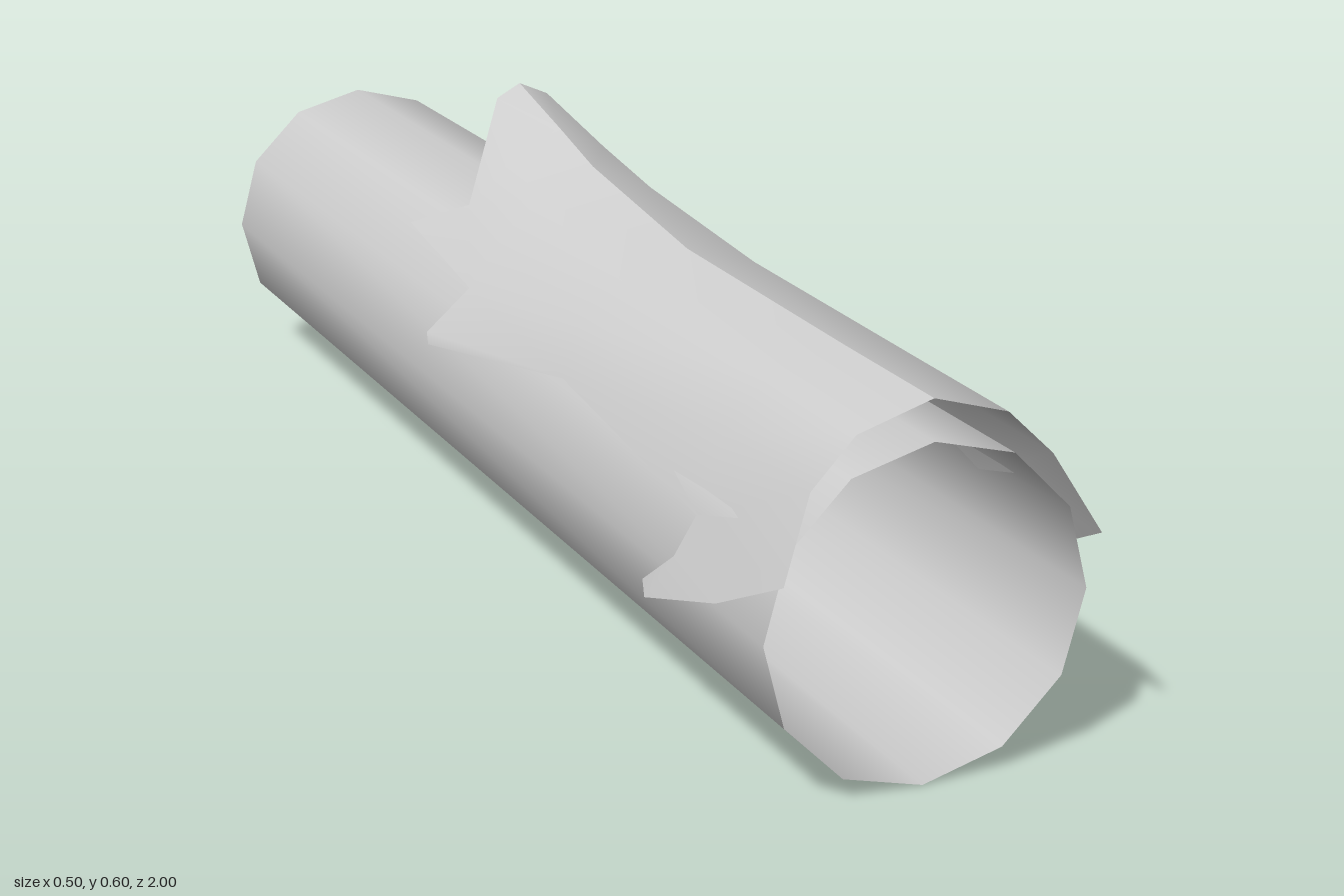
import * as THREE from 'three';

// Half of the torn outer layer: four cross-sections (front to back), each from crest to side
const SECTIONS = [
  [[0, 0.483, 0.96], [0.1, 0.453, 0.96], [0.16, 0.395, 0.965], [0.21, 0.3, 1.0]],
  [[0, 0.484, 0.745], [0.1, 0.455, 0.745], [0.16, 0.397, 0.745], [0.195, 0.295, 0.745]],
  [[0, 0.49, 0.31], [0.1, 0.46, 0.31], [0.155, 0.405, 0.31], [0.19, 0.34, 0.33]],
  [[0, 0.53, 0], [0.09, 0.49, 0], [0.15, 0.432, 0], [0.198, 0.38, 0.02]],
];
// Points of the ragged rim, numbered on from the 16 section points
const RIM = [
  [0, 0.56, -0.12], [0.07, 0.525, -0.12], [0.138, 0.457, -0.13],      // 16-18 rear section
  [0, 0.595, -0.27], [0.04, 0.578, -0.26], [0.19, 0.41, -0.235],      // 19-21 rear tips
  [0.25, 0.295, -0.01], [0.248, 0.31, -0.02],                         // 22-23 side tip
  [0.23, 0.235, 0.87], [0.242, 0.18, 0.7], [0.24, 0.2, 0.69], [0.222, 0.245, 0.74], // 24-27 front tab
];
const RIM_FACES = [
  [12, 13, 17], [12, 17, 16], [13, 14, 18], [13, 18, 17], [14, 15, 18],
  [15, 21, 18], [16, 17, 20], [16, 20, 19], [17, 18, 20],
  [11, 22, 23], [11, 23, 15],
  [3, 24, 7], [24, 27, 7], [24, 25, 27], [25, 26, 27],
];

// side = 1 for the left half, -1 for its mirror image
function shellHalf(side) {
  const points = [...SECTIONS.flat(), ...RIM].map(([x, y, z]) => [x * side, y, z]);
  const faces = [...RIM_FACES];
  for (let r = 0; r < 3; r++) {
    for (let c = 0; c < 3; c++) {
      const a = r * 4 + c;
      faces.push([a, a + 1, a + 5], [a, a + 5, a + 4]);
    }
  }
  const index = faces.flatMap(([a, b, c]) => (side > 0 ? [a, b, c] : [a, c, b]));
  const geometry = new THREE.BufferGeometry();
  geometry.setAttribute('position', new THREE.Float32BufferAttribute(points.flat(), 3));
  geometry.setIndex(index);
  geometry.computeVertexNormals();
  return geometry;
}

export function createModel() {
  const model = new THREE.Group();
  model.name = 'hollowLog';
  const grey = new THREE.MeshStandardMaterial({ color: 0xcccccc, side: THREE.DoubleSide });
  grey.name = 'lightGrey';

  // Open twelve-sided tube lying along z
  const tubeGeometry = new THREE.CylinderGeometry(0.216, 0.216, 1.965, 12, 1, true);
  tubeGeometry.rotateX(Math.PI / 2);
  const tube = new THREE.Mesh(tubeGeometry, grey);
  tube.name = 'tube';
  tube.position.set(0, 0.216, -0.0175);
  model.add(tube);

  // Peeling layer over the top, creased along the crest
  for (const side of [1, -1]) {
    const half = new THREE.Mesh(shellHalf(side), grey);
    half.name = side > 0 ? 'peelingLayerLeft' : 'peelingLayerRight';
    model.add(half);
  }
  return model;
}
